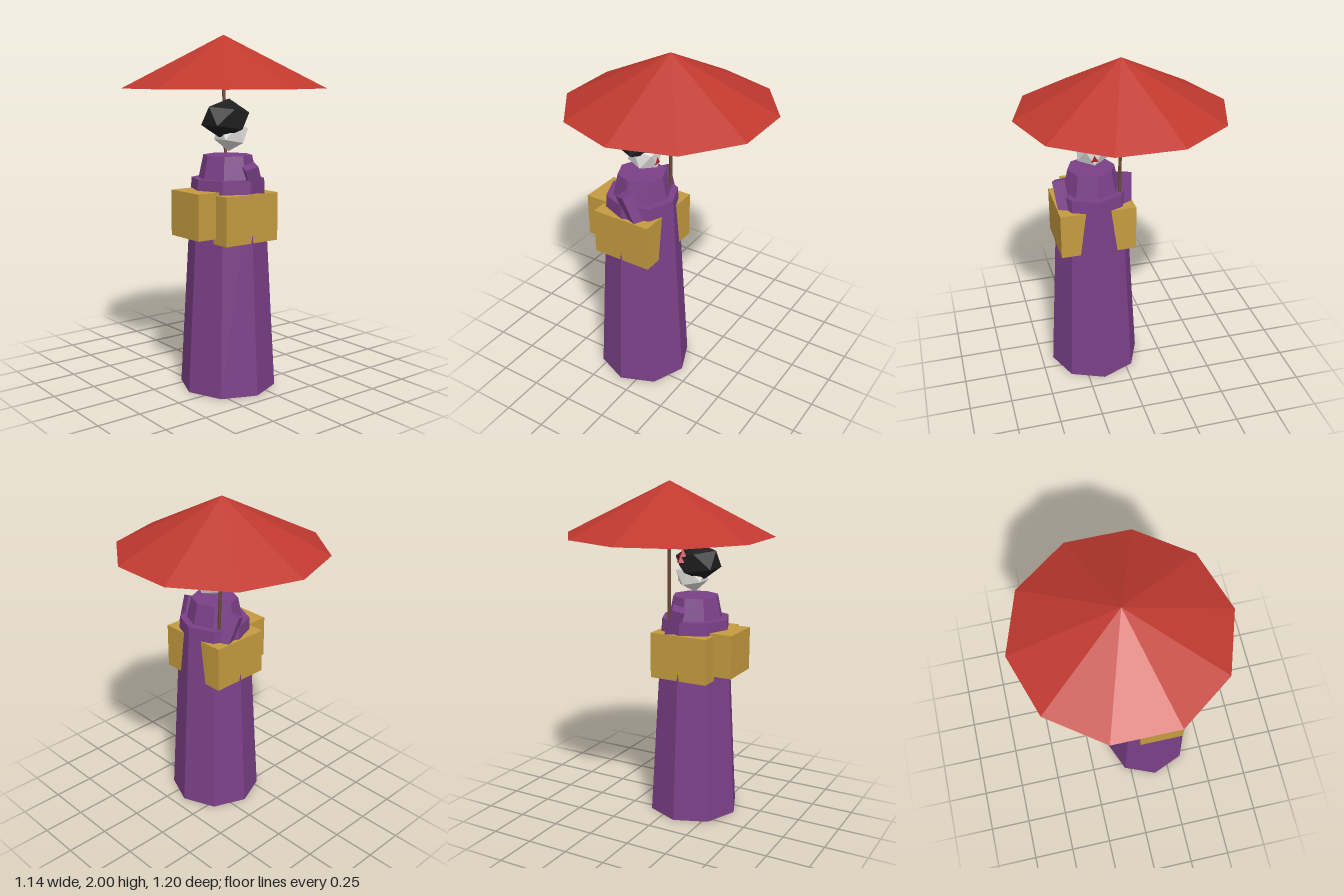
import * as THREE from 'three';

const flat = (name, color) => {
  const m = new THREE.MeshStandardMaterial({ color, flatShading: true });
  m.name = name;
  return m;
};

export function createModel() {
  const red = flat('parasolRed', 0xc0392f);
  const crimson = flat('crimson', 0xb3202a);
  const purple = flat('robePurple', 0x7b4088);
  const gold = flat('sashGold', 0xc49b3f);
  const brown = flat('poleBrown', 0x6b4a36);
  const black = flat('hairBlack', 0x1e1e1e);
  const white = flat('faceWhite', 0xe0dfdd);

  const model = new THREE.Group();
  model.name = 'figureWithParasol';
  const add = (name, geometry, material, x, y, z) => {
    const mesh = new THREE.Mesh(geometry, material);
    mesh.name = name;
    mesh.position.set(x, y, z);
    model.add(mesh);
    return mesh;
  };

  // The figure stands off-centre and looks towards +x
  const X = -0.09, Z = 0.156;

  // Robe and shoulders
  add('robe', new THREE.CylinderGeometry(0.206, 0.274, 1.205, 8), purple, X, 0.6025, Z);
  add('shoulders', new THREE.CylinderGeometry(0.138, 0.17, 0.15, 8), purple, X, 1.258, Z);

  // Sash around the waist and the bow on the back
  add('sash', new THREE.BoxGeometry(0.36, 0.27, 0.445), gold, X, 0.995, Z);
  add('bow', new THREE.BoxGeometry(0.257, 0.255, 0.257), gold, -0.257, 1.018, Z);

  // Arms, leaning forward and in
  for (const s of [1, -1]) {
    const dir = new THREE.Vector3(-0.4, 1, 0.12 * s).normalize();
    const arm = add(s > 0 ? 'frontArm' : 'backArm', new THREE.BoxGeometry(0.075, 0.26, 0.075), purple,
      -0.08 - dir.x * 0.13, 1.28 - dir.y * 0.13, Z + s * 0.186 - dir.z * 0.13);
    arm.quaternion.setFromUnitVectors(new THREE.Vector3(0, 1, 0), dir)
      .multiply(new THREE.Quaternion().setFromAxisAngle(new THREE.Vector3(0, 1, 0), -0.4 * s));
  }

  // Head and hair, each turned so one triangle faces forward
  const tilt = 0.3649;
  add('head', new THREE.IcosahedronGeometry(0.1, 0).rotateZ(tilt), white, -0.066, 1.45, Z);
  add('hair', new THREE.IcosahedronGeometry(0.141, 0).rotateZ(tilt).scale(1, 0.8, 1), black, -0.107, 1.534, Z);

  // Mouth
  const mouth = new THREE.CylinderGeometry(0.024, 0.024, 0.008, 3).rotateY(Math.PI / 2).rotateZ(Math.PI / 2);
  add('mouth', mouth, crimson, 0.013, 1.425, Z);

  // Hair ornaments
  [[-0.06, 1.595, 0.047], [-0.055, 1.562, 0.03]].forEach(([x, y, z], i) =>
    add('hairOrnament' + (i + 1), new THREE.ConeGeometry(0.024, 0.045, 4), crimson, x, y, z));

  // Parasol canopy with a closed underside
  add('parasolCanopy', new THREE.ConeGeometry(0.6, 0.3, 10), red, 0, 1.85, 0);

  // Slightly leaning parasol pole
  const top = new THREE.Vector3(0, 1.75, 0), foot = new THREE.Vector3(0.012, 1.1, 0.015);
  const mid = top.clone().add(foot).multiplyScalar(0.5);
  const pole = add('parasolPole', new THREE.CylinderGeometry(0.01, 0.01, top.distanceTo(foot), 6), brown, mid.x, mid.y, mid.z);
  pole.quaternion.setFromUnitVectors(new THREE.Vector3(0, 1, 0), top.sub(foot).normalize());

  return model;
}
